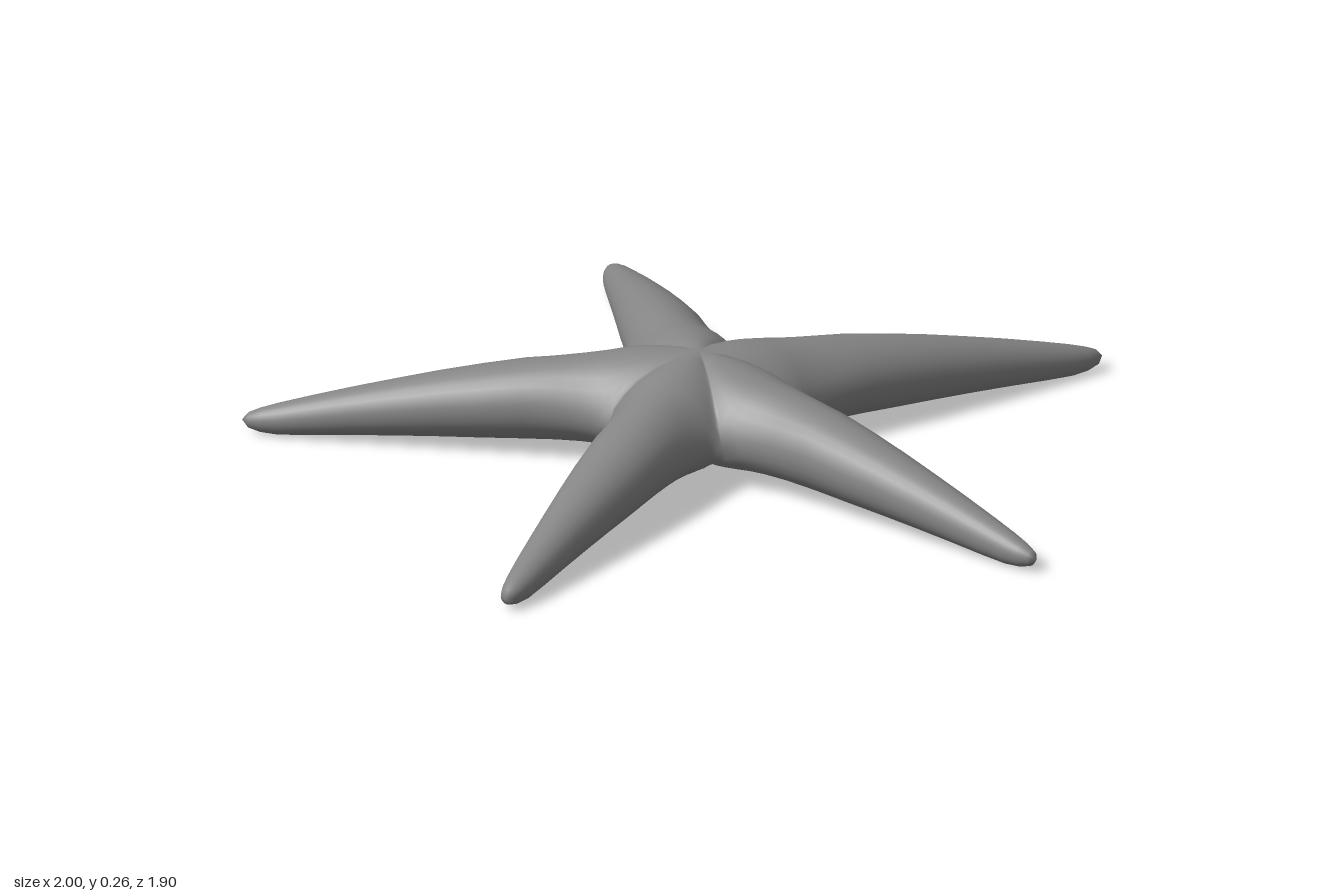
import * as THREE from 'three';
import { mergeVertices } from 'three/addons/utils/BufferGeometryUtils.js';

const ARMS = 5;
const CENTRE_Z = -0.1;
const HALF_WEDGE = Math.PI / ARMS;
const NOTCH_R = 0.25; // distance of the notches between arms from the centre
const NOTCH_D = NOTCH_R * Math.cos(HALF_WEDGE);
const NOTCH_W = NOTCH_R * Math.sin(HALF_WEDGE);
const COLS = 14;

// Arm cross-sections: distance from centre, half width, top, bottom.
// Inside the notch the width follows the wedge shared with the next arm.
const sections = [
  [0, 0, 0.265, 0],
  [0.05, 0, 0.265, 0.003],
  [0.1, 0, 0.264, 0.012],
  [0.14, 0, 0.261, 0.02],
  [0.17, 0, 0.258, 0.025],
  [0.19, 0, 0.255, 0.028],
  [NOTCH_D, NOTCH_W, 0.253, 0.029],
  [0.218, 0.129, 0.25, 0.03],
  [0.245, 0.115, 0.246, 0.031],
  [0.3, 0.107, 0.236, 0.032],
  [0.4, 0.097, 0.218, 0.031],
  [0.5, 0.088, 0.198, 0.028],
  [0.6, 0.077, 0.177, 0.025],
  [0.7, 0.066, 0.153, 0.021],
  [0.8, 0.055, 0.128, 0.016],
  [0.9, 0.044, 0.101, 0.01],
  [0.97, 0.035, 0.081, 0.007],
  [1.01, 0.027, 0.068, 0.011],
  [1.038, 0.017, 0.056, 0.02],
  [1.053, 0, 0.038, 0.038],
];

// Point on an arm's upper (side = 1) or lower (side = -1) surface
function armPoint([d, width, top, bottom], s, side) {
  const u = Math.min(1, d / NOTCH_D) * s;
  const half = d < NOTCH_D ? NOTCH_W : width;
  // Around the notches the flank slopes more and its edge sits lower
  const web = Math.exp(-(((d - NOTCH_D) / 0.09) ** 2));
  const exponent = side > 0 ? 0.5 + 0.2 * web : 0.5;
  const bulge = Math.max(0, 1 - u * u) ** exponent;
  const edge = THREE.MathUtils.lerp(bottom, top, 0.5 - 0.12 * web);
  const y = THREE.MathUtils.lerp(edge, side > 0 ? top : bottom, bulge);
  return new THREE.Vector3(u * half, y, d);
}

// Relax the central body so the arms flow into each other
function relaxCentre(geometry, rounds) {
  const position = geometry.attributes.position;
  const index = geometry.index.array;
  const point = new THREE.Vector3();
  for (let round = 0; round < rounds; round++) {
    const sums = Array.from({ length: position.count }, () => new THREE.Vector4(0, 0, 0, 0));
    for (let t = 0; t < index.length; t += 3) {
      for (let k = 0; k < 3; k++) {
        const sum = sums[index[t + k]];
        for (const other of [index[t + (k + 1) % 3], index[t + (k + 2) % 3]]) {
          point.fromBufferAttribute(position, other);
          sum.set(sum.x + point.x, sum.y + point.y, sum.z + point.z, sum.w + 1);
        }
      }
    }
    sums.forEach((sum, i) => {
      if (sum.w === 0) return;
      point.fromBufferAttribute(position, i);
      const d = Math.hypot(point.x, point.z - CENTRE_Z);
      const weight = 0.5 * THREE.MathUtils.clamp((0.42 - d) / 0.12, 0, 1);
      point.lerp(new THREE.Vector3(sum.x, sum.y, sum.z).divideScalar(sum.w), weight);
      position.setXYZ(i, point.x, point.y, point.z);
    });
  }
}

function starGeometry() {
  const positions = [];
  const index = [];
  const up = new THREE.Vector3(0, 1, 0);
  for (let arm = 0; arm < ARMS; arm++) {
    for (const side of [1, -1]) {
      const base = positions.length / 3;
      sections.forEach((section, i) => {
        for (let j = 0; j <= COLS; j++) {
          const s = Math.sin((j / COLS - 0.5) * Math.PI);
          const p = armPoint(section, s, side).applyAxisAngle(up, arm * 2 * HALF_WEDGE);
          positions.push(p.x, p.y, p.z + CENTRE_Z);
          if (i === 0 || j === 0) continue;
          const d = base + i * (COLS + 1) + j;
          const c = d - 1, b = d - COLS - 1, a = b - 1;
          if (side > 0) index.push(a, c, d, a, d, b);
          else index.push(a, d, c, a, b, d);
        }
      });
    }
  }
  const raw = new THREE.BufferGeometry();
  raw.setAttribute('position', new THREE.Float32BufferAttribute(positions, 3));
  raw.setIndex(index);
  // Weld arms and the two sheets so the whole skin shades smoothly
  const geometry = mergeVertices(raw, 1e-4);
  relaxCentre(geometry, 5);
  geometry.computeVertexNormals();
  return geometry;
}

export function createModel() {
  const group = new THREE.Group();
  group.name = 'starfish';
  const material = new THREE.MeshStandardMaterial({ color: 0x868686 });
  const body = new THREE.Mesh(starGeometry(), material);
  body.name = 'bodyWithFiveArms';
  group.add(body);
  return group;
}
